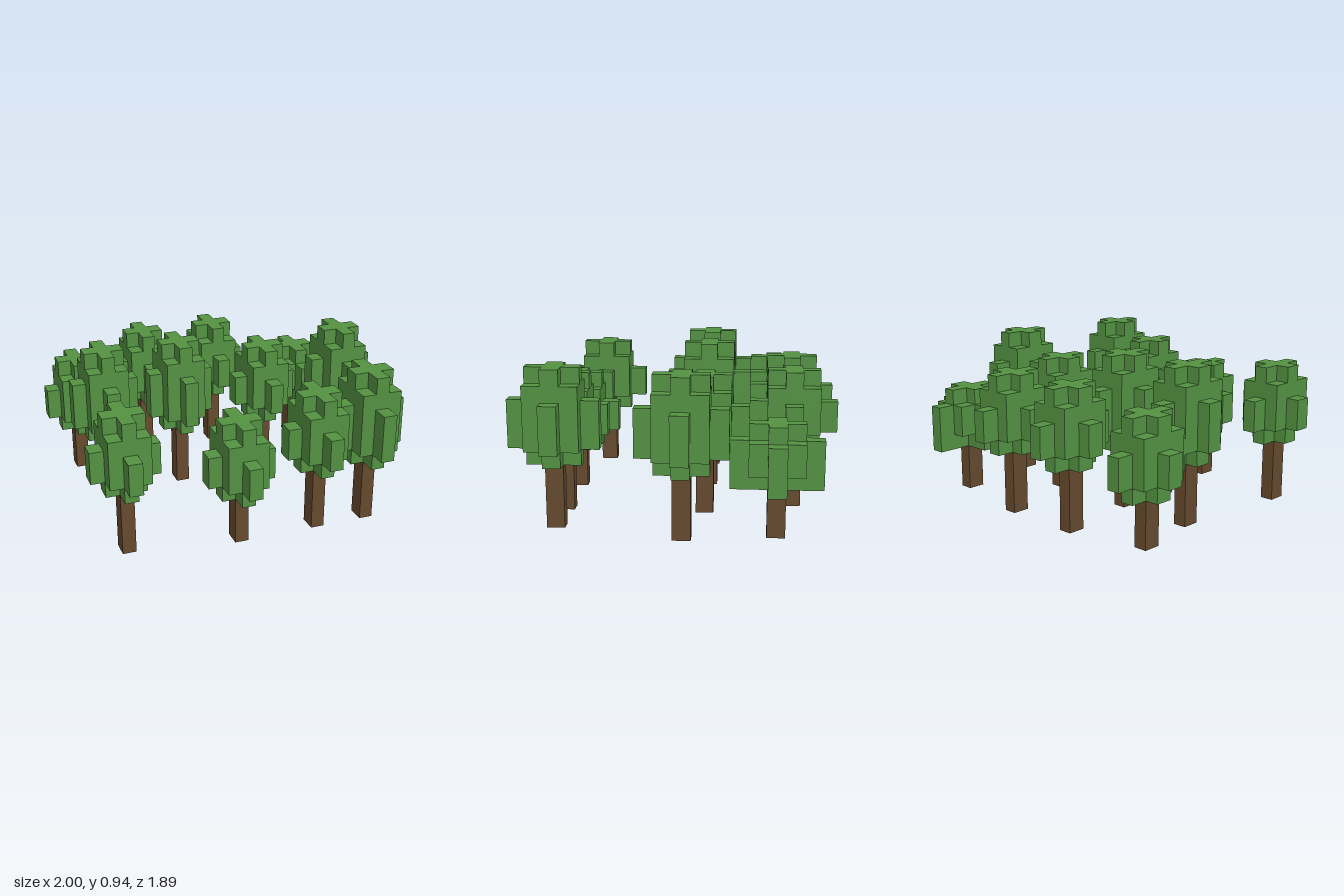
import * as THREE from 'three';

// Cell size of the block grid
const CX = 0.08, CY = 0.0942, CZ = 0.105;

// Trees: x and z in cells, canopy bottom and top in layers; low trees have arms down to the base
const TREES = [
  { x: -10, z: -5.5, bottom: 3, top: 8 },
  { x: -4, z: -6.5, bottom: 4, top: 9 },
  { x: 2, z: -6.5, bottom: 4, top: 9 },
  { x: 9, z: -5.5, bottom: 3, top: 7, low: true },
  { x: -9, z: -1.5, bottom: 4, top: 10 },
  { x: -3, z: -1.5, bottom: 4, top: 10 },
  { x: 4, z: -1.5, bottom: 4, top: 9 },
  { x: 10, z: -0.5, bottom: 4, top: 10 },
  { x: -10, z: 5.5, bottom: 4, top: 9 },
  { x: -2, z: 6.5, bottom: 3, top: 8 },
  { x: 4, z: 6.5, bottom: 4, top: 9 },
  { x: 8, z: 6.5, bottom: 4, top: 10 },
];

export function createModel() {
  const leafGreen = new THREE.MeshStandardMaterial({ color: 0x539242 });
  leafGreen.name = 'leafGreen';
  const barkBrown = new THREE.MeshStandardMaterial({ color: 0x664a2e });
  barkBrown.name = 'barkBrown';

  const add = (parent, name, geometry, material, x, y, z) => {
    const mesh = new THREE.Mesh(geometry, material);
    mesh.name = name;
    mesh.position.set(x, y, z);
    parent.add(mesh);
  };

  // One cell column from layer y0 to layer y1
  const column = (parent, name, material, i, k, y0, y1) =>
    add(parent, name, new THREE.BoxGeometry(CX, (y1 - y0) * CY, CZ), material,
      i * CX, (y0 + y1) / 2 * CY, k * CZ);

  // Plus-shaped outline three cells wide
  const plus = new THREE.Shape([
    [-0.5, -1.5], [0.5, -1.5], [0.5, -0.5], [1.5, -0.5], [1.5, 0.5], [0.5, 0.5],
    [0.5, 1.5], [-0.5, 1.5], [-0.5, 0.5], [-1.5, 0.5], [-1.5, -0.5], [-0.5, -0.5],
  ].map(([x, z]) => new THREE.Vector2(x * CX, z * CZ)));

  const makeTree = ({ x, z, bottom, top, low }) => {
    const tree = new THREE.Group();
    tree.name = 'tree';
    tree.position.set(x * CX, 0, z * CZ);
    column(tree, 'trunk', barkBrown, 0, 0, 0, bottom);

    // Tall core of the canopy
    const core = new THREE.ExtrudeGeometry(plus, { depth: (top - bottom) * CY, bevelEnabled: false });
    core.rotateX(-Math.PI / 2);
    add(tree, 'canopyCore', core, leafGreen, 0, bottom * CY, 0);

    // Shorter corner blocks
    for (const i of [-1, 1]) for (const k of [-1, 1])
      column(tree, 'canopyCorner', leafGreen, i, k, bottom + 1, top - 1);

    // Outer arms
    for (const [i, k] of [[2, 0], [-2, 0], [0, 2], [0, -2]])
      column(tree, 'canopyArm', leafGreen, i, k, low ? bottom : bottom + 1, low ? top - 1 : top - 2);
    return tree;
  };

  const model = new THREE.Group();
  model.name = 'forest';
  TREES.forEach((t) => model.add(makeTree(t)));
  return model;
}
